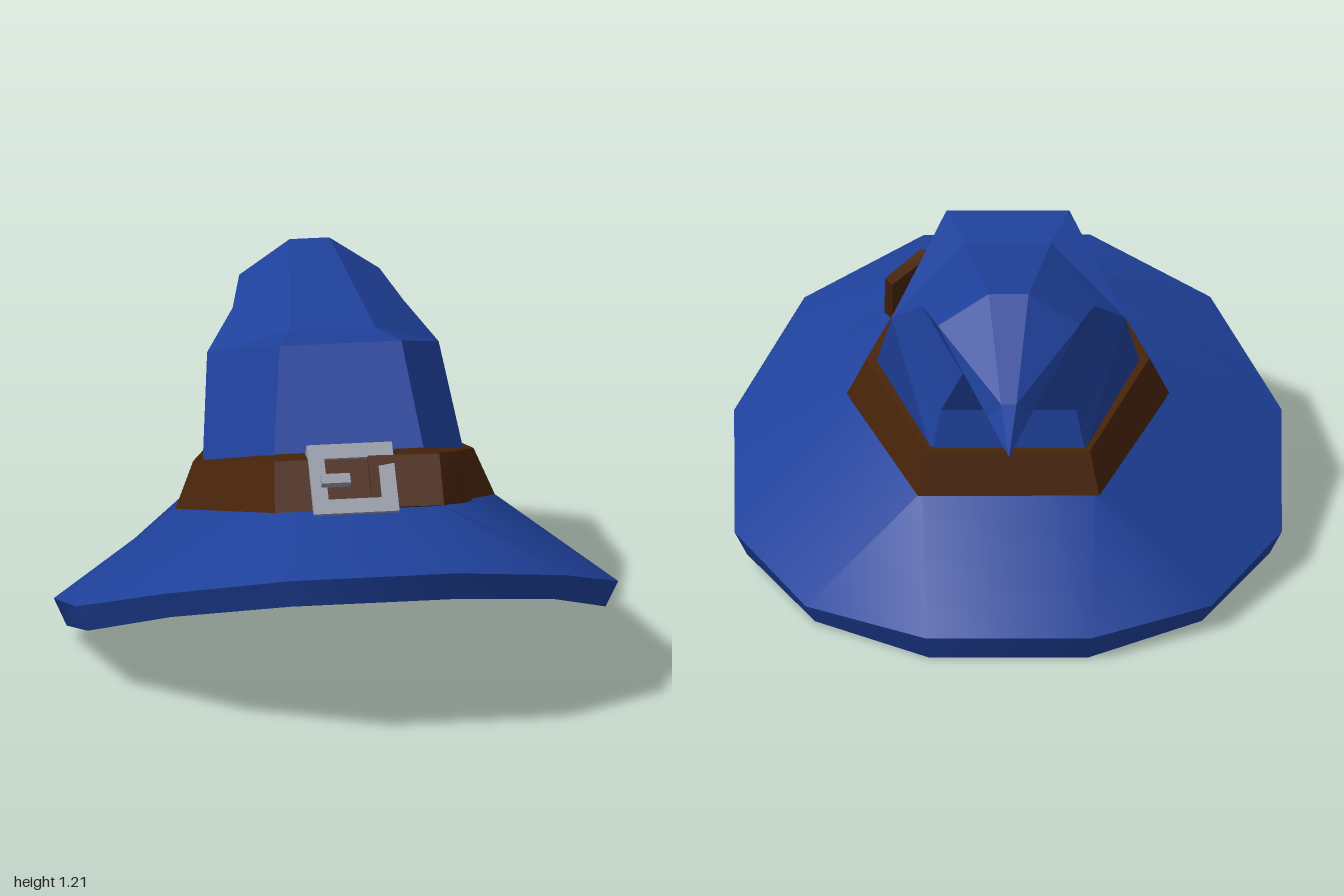
import * as THREE from 'three';
import { toCreasedNormals } from 'three/addons/utils/BufferGeometryUtils.js';

const mat = (name, color) => {
  const m = new THREE.MeshStandardMaterial({ color });
  m.name = name;
  return m;
};

// Mirrors the +x half of a cross-section (front to back) into a closed ring
const ring = (...half) => [
  ...half,
  ...half.slice().reverse().map(([x, y, z]) => [-x, y, z]),
];
// Six-cornered section with doubled corners, to meet the brim's twelve-sided edge
const doubled = (f, m, b) => ring(f, f, m, m, b, b);
const point = (p, n) => Array(n).fill(p);

// Skins a sequence of equal-length rings, dropping collapsed triangles
function loft(rings, crease = 0.5) {
  const pos = [];
  const tri = (...p) => {
    const [a, b, c] = p.map((q) => new THREE.Vector3(...q));
    if (new THREE.Triangle(a, b, c).getArea() > 1e-6) pos.push(...p.flat());
  };
  for (let k = 0; k < rings.length - 1; k++) {
    const n = rings[k].length;
    for (let i = 0; i < n; i++) {
      const j = (i + 1) % n;
      const a = rings[k][i], b = rings[k][j], c = rings[k + 1][j], d = rings[k + 1][i];
      if (i < n / 2) { tri(a, b, d); tri(b, c, d); }
      else { tri(a, b, c); tri(a, c, d); }
    }
  }
  const g = new THREE.BufferGeometry();
  g.setAttribute('position', new THREE.Float32BufferAttribute(pos, 3));
  return toCreasedNormals(g, crease);
}

export function createModel() {
  const hat = new THREE.Group();
  hat.name = 'hat';
  const cloth = mat('blue cloth', 0x1f419b);
  const lining = mat('dark lining', 0x08202d);
  const leather = mat('brown leather', 0x47230a);
  const metal = mat('silver metal', 0x9398a4);
  const add = (name, geo, material, parent = hat) => {
    const mesh = new THREE.Mesh(geo, material);
    mesh.name = name;
    parent.add(mesh);
    return mesh;
  };

  // Brim: opening, lower edge, upper edge, foot of the crown
  const hole = [[0.27, 0.375, 0.57], [0.53, 0.27, 0.03], [0.27, 0.2, -0.56]];
  add('brim', loft([
    doubled(...hole),
    ring([0.27, 0.51, 0.97], [0.63, 0.4, 0.72], [0.85, 0.22, 0.33],
      [0.85, 0.05, -0.18], [0.63, 0.01, -0.58], [0.26, 0, -0.82]),
    ring([0.27, 0.61, 1], [0.66, 0.5, 0.77], [0.89, 0.31, 0.34],
      [0.89, 0.14, -0.2], [0.66, 0.09, -0.63], [0.27, 0.09, -0.86]),
    doubled([0.265, 0.695, 0.57], [0.51, 0.53, 0.035], [0.28, 0.47, -0.55]),
  ], 0.6), cloth);

  // Dark panel filling the opening
  add('lining', loft([point([0, 0.285, 0.01], 6), ring(...hole)]), lining);

  // Crown: slumps backwards and folds down to a point
  add('crown', loft([
    ring([0.25, 0.79, 0.4], [0.43, 0.65, 0.01], [0.25, 0.59, -0.51]),
    ring([0.2, 1.12, 0.18], [0.38, 0.95, -0.25], [0.22, 0.74, -0.5]),
    ring([0.14, 1.1, -0.01], [0.28, 1.055, -0.37], [0.15, 0.91, -0.575]),
    ring([0.065, 1.205, -0.58], [0.23, 1.09, -0.58], [0.1, 0.9, -0.59]),
    ring([0.025, 0.92, -0.81], [0.07, 0.86, -0.78], [0.03, 0.785, -0.76]),
    point([0, 0.825, -1], 6),
  ], 0.25), cloth);

  // Leather band around the foot of the crown, with closed lower and upper edges
  add('band', loft([
    ring([0.25, 0.69, 0.54], [0.48, 0.53, 0.03], [0.265, 0.475, -0.53]),
    ring([0.27, 0.69, 0.585], [0.525, 0.52, 0.045], [0.295, 0.46, -0.565]),
    ring([0.255, 0.825, 0.46], [0.46, 0.67, 0.005], [0.265, 0.605, -0.53]),
    ring([0.24, 0.82, 0.38], [0.42, 0.668, 0], [0.235, 0.61, -0.495]),
  ]), leather);

  // Loose strap end: sections run top, bottom, inner bottom, inner top
  add('strapEnd', loft([
    point([0.05, 0.75, 0.52], 4),
    [[0.05, 0.835, 0.47], [0.05, 0.7, 0.595], [0.05, 0.68, 0.57], [0.05, 0.815, 0.445]],
    [[0.285, 0.83, 0.47], [0.285, 0.695, 0.59], [0.26, 0.68, 0.56], [0.26, 0.815, 0.44]],
    [[0.4, 0.79, 0.34], [0.4, 0.635, 0.4], [0.375, 0.62, 0.38], [0.375, 0.78, 0.315]],
    point([0.388, 0.706, 0.359], 4),
  ]), leather);

  // Buckle lying on the front of the band, its lower edge sunk into the brim
  const buckle = new THREE.Group();
  buckle.name = 'buckle';
  buckle.position.set(-0.005, 0.754, 0.502);
  buckle.rotation.x = -0.84;
  hat.add(buckle);
  const rect = (C, w, h) => new C([[-w, -h], [w, -h], [w, h], [-w, h]]
    .map(([x, y]) => new THREE.Vector2(x / 2, y / 2)));
  const frame = rect(THREE.Shape, 0.28, 0.255);
  frame.holes.push(rect(THREE.Path, 0.175, 0.15));
  const frameGeo = new THREE.ExtrudeGeometry(frame, { depth: 0.07, bevelEnabled: false });
  add('buckleFrame', frameGeo.translate(0, 0, -0.035), metal, buckle);
  add('buckleProng', new THREE.BoxGeometry(0.095, 0.035, 0.03), metal, buckle)
    .position.set(-0.06, -0.012, 0.047);
  return hat;
}
